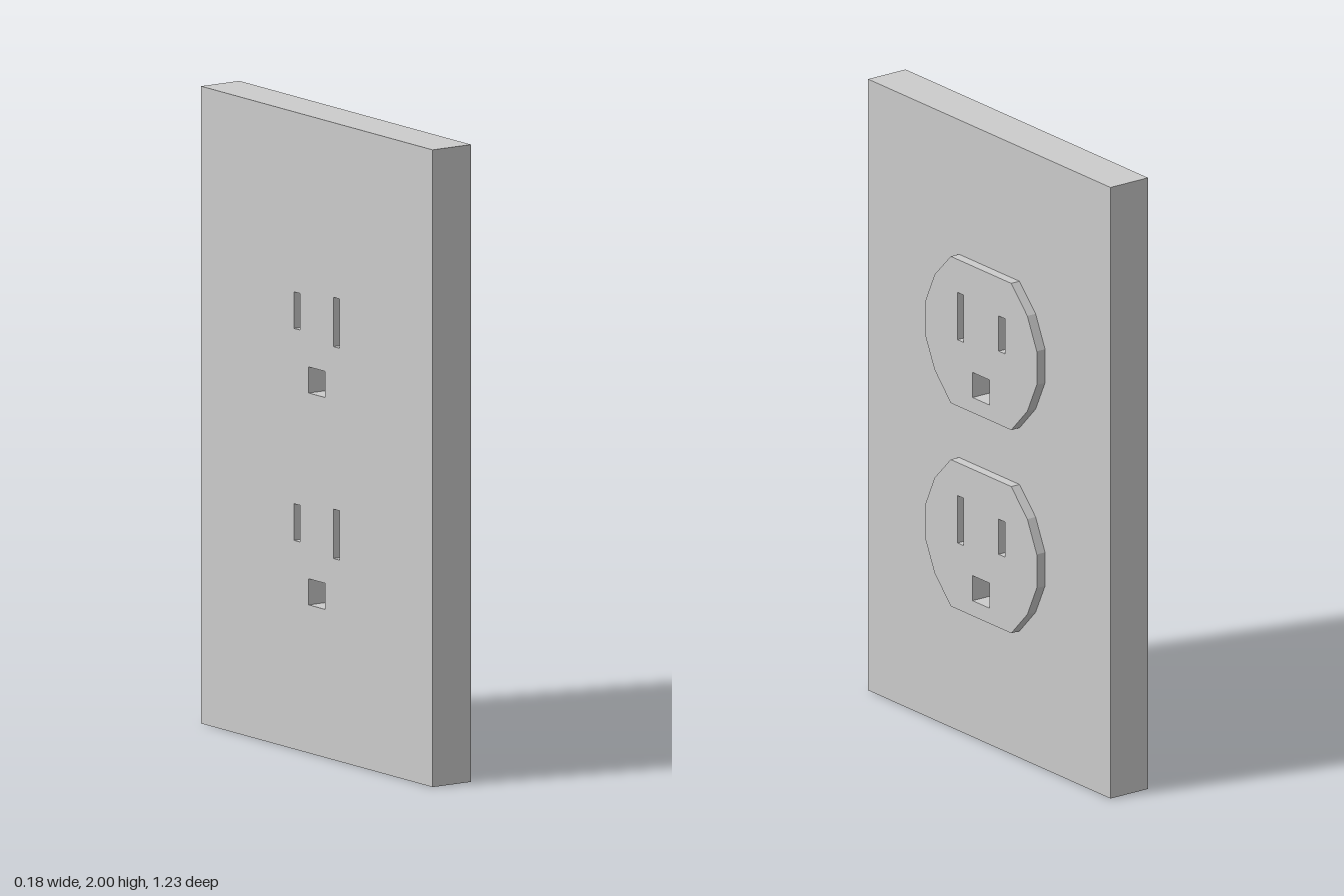
import * as THREE from 'three';

const BACK = -0.09, PLATE = 0.055, FRONT = 0.087;
const SOCKETS = [1.32, 0.655]; // socket centre heights

// Slots as [left, right, bottom, top], relative to a socket centre
const SLOTS = [
  [-0.12, -0.088, -0.023, 0.132],
  [0.09, 0.122, 0, 0.115],
  [-0.043, 0.043, -0.19, -0.108],
];

function addSlots(shape, cy) {
  for (const [l, r, b, t] of SLOTS) {
    shape.holes.push(new THREE.Path([
      [l, b], [l, t], [r, t], [r, b],
    ].map(([u, v]) => new THREE.Vector2(u, v + cy))));
  }
}

// Extrude a shape sideways so that it spans x0..x1 and faces +x
function slab(name, shape, x0, x1, material) {
  const geometry = new THREE.ExtrudeGeometry(shape, { depth: x1 - x0, bevelEnabled: false });
  geometry.rotateY(Math.PI / 2).translate(x0, 0, 0);
  const mesh = new THREE.Mesh(geometry, material);
  mesh.name = name;
  return mesh;
}

export function createModel() {
  const group = new THREE.Group();
  group.name = 'wallOutlet';
  const material = new THREE.MeshStandardMaterial({ color: 0xcccccc, flatShading: true });

  // Wall plate with the slots cut through
  const plate = new THREE.Shape([
    [-0.617, 0], [0.617, 0], [0.617, 2], [-0.617, 2],
  ].map(([u, v]) => new THREE.Vector2(u, v)));
  SOCKETS.forEach((cy) => addSlots(plate, cy));
  group.add(slab('wallPlate', plate, BACK, PLATE, material));

  // Raised twelve-sided socket faces
  const side = [[0.154, -0.24], [0.236, -0.155], [0.284, -0.055], [0.284, 0.055], [0.236, 0.157], [0.154, 0.24]];
  const outline = [...side, ...side.map(([u, v]) => [-u, v]).reverse()];
  SOCKETS.forEach((cy, i) => {
    const face = new THREE.Shape(outline.map(([u, v]) => new THREE.Vector2(u, v + cy)));
    addSlots(face, cy);
    group.add(slab(i ? 'lowerSocket' : 'upperSocket', face, PLATE, FRONT, material));
  });

  return group;
}
